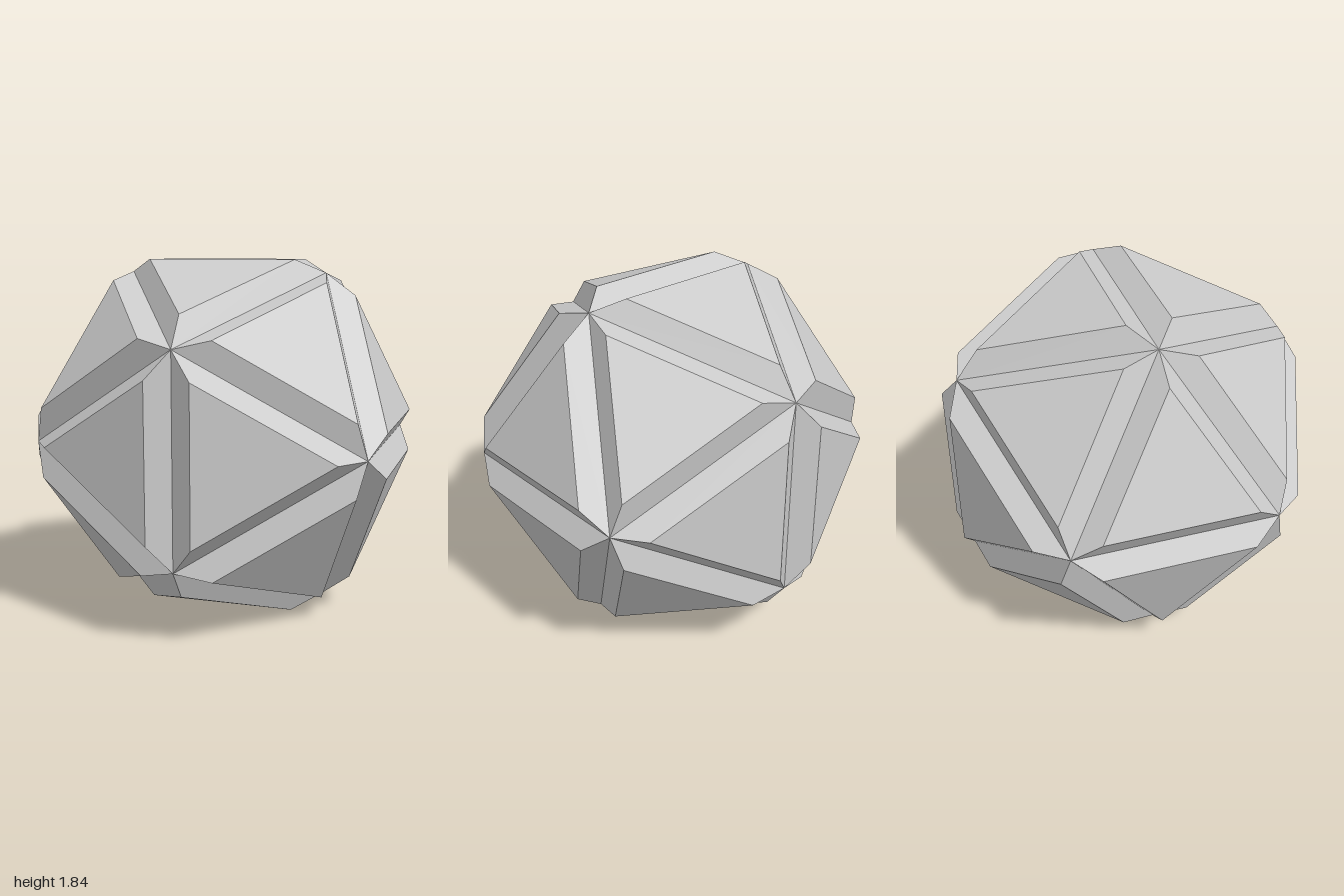
import * as THREE from 'three';

const CENTRE_Y = 0.917;  // height of the solid's centre
const PANEL_SCALE = 0.739; // raised panel relative to the full face
const PANEL_PUSH = 0.31;   // outward shift of the panel corners

// Icosahedron with its poles on the z axis: two poles and two rings of five
function icosahedronFaces() {
  const ringPoint = (angle, z) =>
    new THREE.Vector3(Math.cos(angle) * 2 / Math.sqrt(5), Math.sin(angle) * 2 / Math.sqrt(5), z);
  const step = Math.PI * 2 / 5;
  const front = new THREE.Vector3(0, 0, 1);
  const back = new THREE.Vector3(0, 0, -1);
  const faces = [];
  for (let i = 0; i < 5; i++) {
    const a = ringPoint(i * step, 1 / Math.sqrt(5));
    const aNext = ringPoint((i + 1) * step, 1 / Math.sqrt(5));
    const b = ringPoint((i + 0.5) * step, -1 / Math.sqrt(5));
    const bNext = ringPoint((i + 1.5) * step, -1 / Math.sqrt(5));
    faces.push([front, a, aNext], [a, b, aNext], [b, bNext, aNext], [back, bNext, b]);
  }
  return faces;
}

// A raised triangular panel whose sloping sides run down to the face's edges
function panelGeometry(corners) {
  const normal = new THREE.Vector3();
  corners.forEach((c) => normal.add(c));
  normal.normalize();
  const top = corners.map((c) =>
    c.clone().multiplyScalar(PANEL_SCALE).addScaledVector(normal, PANEL_PUSH));
  const points = [...top];
  for (let i = 0; i < 3; i++) {
    const j = (i + 1) % 3;
    points.push(corners[i], corners[j], top[j], corners[i], top[j], top[i]);
  }
  const geometry = new THREE.BufferGeometry().setFromPoints(points);
  geometry.computeVertexNormals();
  return geometry;
}

export function createModel() {
  const model = new THREE.Group();
  model.name = 'groovedIcosahedron';
  const material = new THREE.MeshStandardMaterial({ color: 0xcccccc, flatShading: true });

  // Twenty panels; neighbouring slopes meet as V grooves along the edges
  icosahedronFaces().forEach((corners, i) => {
    const panel = new THREE.Mesh(panelGeometry(corners), material);
    panel.name = `raisedPanel${i + 1}`;
    panel.position.y = CENTRE_Y;
    model.add(panel);
  });
  return model;
}
